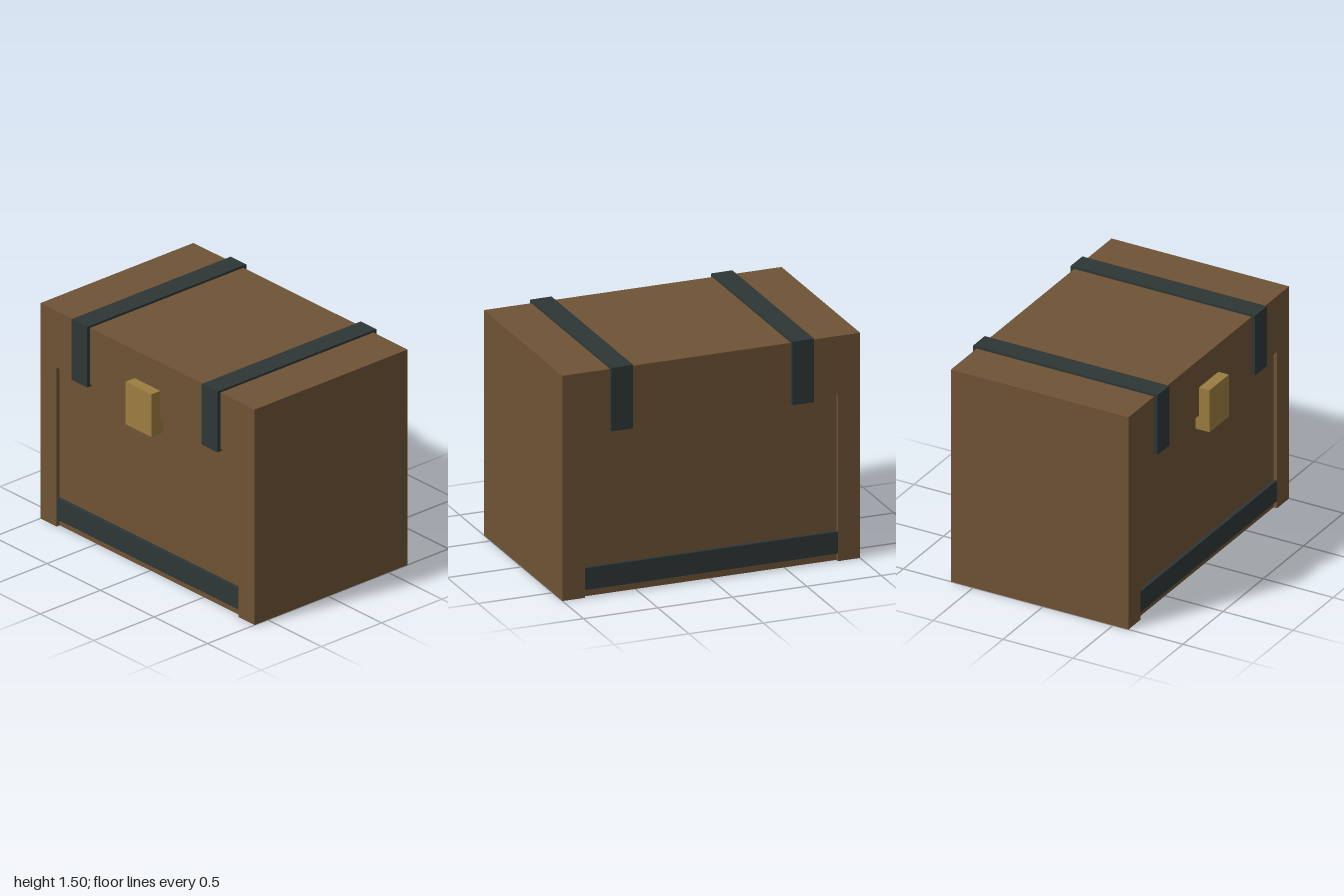
import * as THREE from 'three';

const wood = new THREE.MeshStandardMaterial({ name: 'wood brown', color: 0x6f5335 });
const iron = new THREE.MeshStandardMaterial({ name: 'dark iron', color: 0x2e3636 });
const brass = new THREE.MeshStandardMaterial({ name: 'brass', color: 0x9c7d40 });

// Box given by its limits on each axis
function box(name, material, [x0, x1], [y0, y1], [z0, z1]) {
  const mesh = new THREE.Mesh(new THREE.BoxGeometry(x1 - x0, y1 - y0, z1 - z0), material);
  mesh.position.set((x0 + x1) / 2, (y0 + y1) / 2, (z0 + z1) / 2);
  mesh.name = name;
  return mesh;
}

export function createModel() {
  const chest = new THREE.Group();
  chest.name = 'chest';
  const back = -0.66, front = 0.61, recess = 0.025;

  // Recessed body and full-depth lid
  chest.add(box('body', wood, [-0.85, 0.85], [0, 1.1], [back + recess, front - recess]));
  chest.add(box('lid', wood, [-1, 1], [1.1, 1.49], [back, front]));

  // Base band, flush with the posts on front and back
  chest.add(box('baseBand', iron, [-0.85, 0.85], [0.05, 0.195], [back + 0.001, front - 0.001]));

  for (const side of [-1, 1]) {
    const label = side > 0 ? 'left' : 'right';
    const span = (a, b) => (side > 0 ? [a, b] : [-b, -a]);
    // Solid end wall forming the corner posts
    chest.add(box(label + 'EndPosts', wood, span(0.85, 1), [0, 1.1], [back, front]));
    // Strap wrapped over the lid
    chest.add(box(label + 'Strap', iron, span(0.535, 0.68), [1.085, 1.505], [back - recess, front + recess]));
  }

  // Latch on the front
  chest.add(box('latch', brass, [-0.12, 0.12], [1.0, 1.295], [front - recess - 0.01, 0.685]));
  return chest;
}
